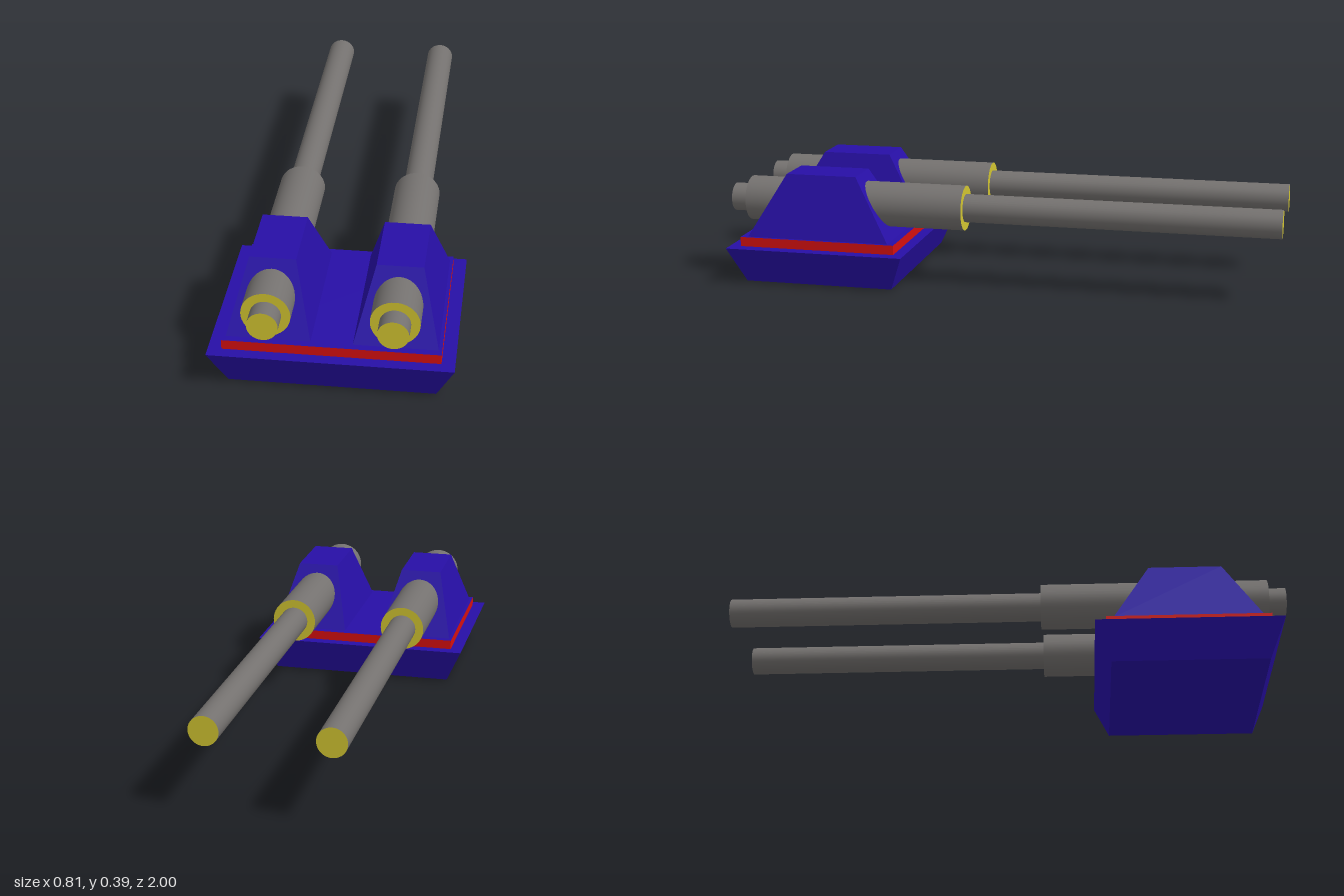
import * as THREE from 'three';

const mat = (name, color) => {
  const m = new THREE.MeshStandardMaterial({ color });
  m.name = name;
  return m;
};

// Box whose top and bottom rectangles differ: [x half width, z half depth]
function taperedBox(bottom, top, height) {
  const g = new THREE.BoxGeometry(2, height, 2);
  const p = g.attributes.position;
  for (let i = 0; i < p.count; i++) {
    const [hx, hz] = p.getY(i) > 0 ? top : bottom;
    p.setX(i, p.getX(i) * hx);
    p.setZ(i, p.getZ(i) * hz);
  }
  g.translate(0, height / 2, 0);
  g.computeVertexNormals();
  return g;
}

export function createModel() {
  const model = new THREE.Group();
  model.name = 'twinCannon';
  const blue = mat('deep blue', 0x270fa6);
  const red = mat('red', 0xd61010);
  const yellow = mat('yellow', 0xd2c531);
  const grey = mat('gunmetal grey', 0x74716f);

  const add = (parent, name, geometry, material, x, y, z) => {
    const mesh = new THREE.Mesh(geometry, material);
    mesh.name = name;
    mesh.position.set(x, y, z);
    parent.add(mesh);
  };

  // Flared base and the deck with red edges and a blue top
  const midZ = 0.643;
  add(model, 'base', taperedBox([0.343, 0.274], [0.403, 0.328], 0.133), blue, 0, 0, midZ);
  add(model, 'deck', taperedBox([0.358, 0.288], [0.358, 0.288], 0.034),
    [red, red, blue, blue, red, red], 0, 0.133, midZ);

  // Grey tube with yellow ends, running along z
  const tube = (parent, name, radius, z0, z1) => {
    const g = new THREE.CylinderGeometry(radius, radius, z1 - z0, 40);
    g.rotateX(Math.PI / 2);
    add(parent, name, g, [grey, yellow, yellow], 0, 0.282, (z0 + z1) / 2);
  };

  for (const side of [1, -1]) {
    const gun = new THREE.Group();
    gun.name = side > 0 ? 'leftGun' : 'rightGun';
    gun.position.x = side * 0.208;
    add(gun, 'housing', taperedBox([0.139, 0.263], [0.077, 0.13], 0.226), blue, 0, 0.167, midZ);
    tube(gun, 'sleeve', 0.081, 0.125, 0.935);
    tube(gun, 'barrel', 0.051, -1, 1);
    model.add(gun);
  }
  return model;
}
